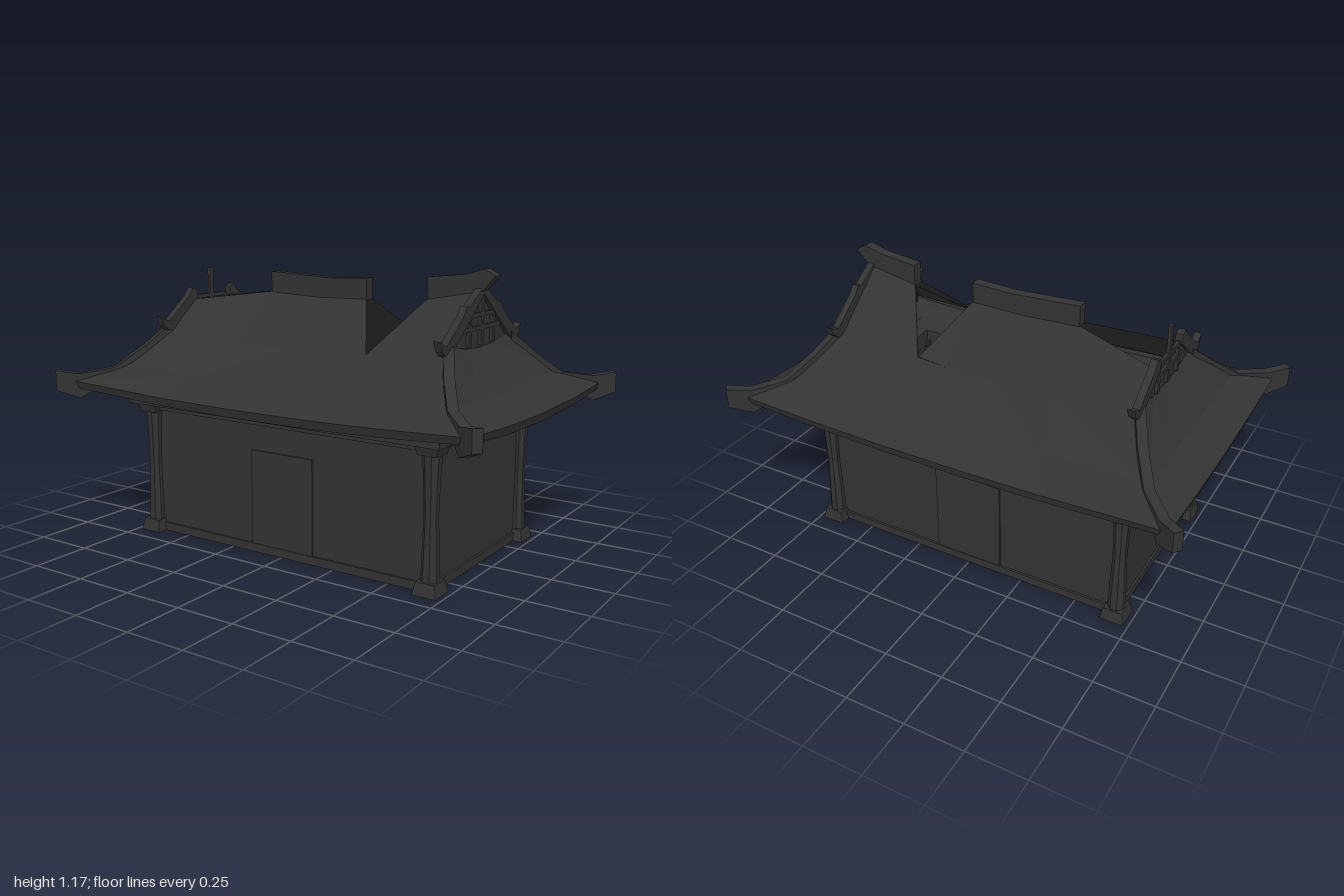
import * as THREE from 'three';

export function createModel() {
  const group = new THREE.Group();
  const charcoal = new THREE.MeshStandardMaterial({ color: 0x333333, flatShading: true, side: THREE.DoubleSide });
  charcoal.name = 'charcoal';

  const add = (name, geo, x = 0, y = 0, z = 0) => {
    const m = new THREE.Mesh(geo, charcoal);
    m.name = name;
    m.position.set(x, y, z);
    group.add(m);
    return m;
  };
  const box = (name, x0, x1, y0, y1, z0, z1) =>
    add(name, new THREE.BoxGeometry(Math.abs(x1 - x0), y1 - y0, Math.abs(z1 - z0)),
      (x0 + x1) / 2, (y0 + y1) / 2, (z0 + z1) / 2);

  // Surface through rows of [x, y, z] points
  const loft = (name, rows, flip = false) => {
    const n = rows[0].length, idx = [];
    for (let r = 0; r < rows.length - 1; r++) {
      for (let c = 0; c < n - 1; c++) {
        const a = r * n + c, b = a + 1, d = a + n, e = d + 1;
        if (flip) idx.push(a, b, d, b, e, d);
        else idx.push(a, d, b, b, d, e);
      }
    }
    const g = new THREE.BufferGeometry();
    g.setAttribute('position', new THREE.Float32BufferAttribute(rows.flat(2), 3));
    g.setIndex(idx);
    g.computeVertexNormals();
    return add(name, g);
  };

  // Flat outline in (z, y), extruded along x
  const plateX = (name, pts, x0, x1) => {
    const shape = new THREE.Shape(pts.map(([z, y]) => new THREE.Vector2(-z, y)));
    const g = new THREE.ExtrudeGeometry(shape, { depth: x1 - x0, bevelEnabled: false });
    g.rotateY(Math.PI / 2);
    return add(name, g, x0);
  };

  // Walls, sills and doors; the floor is open
  for (const s of [-1, 1]) {
    box('longWall', -0.66, 0.66, 0, 0.56, s * 0.36, s * 0.375);
    box('longSill', -0.66, 0.66, 0, 0.035, s * 0.355, s * 0.385);
    box('endWall', s * 0.665, s * 0.68, 0, 0.56, -0.36, 0.36);
    box('endSill', s * 0.66, s * 0.69, 0, 0.035, -0.36, 0.36);
    box('door', -0.15, 0.15, 0.035, 0.43, s * 0.375, s * 0.382);
    box('doorInside', -0.15, 0.15, 0.035, 0.43, s * 0.353, s * 0.36);
    // Stepped beams around the top of the walls
    for (const [x, z, y0, y1] of [[0.7, 0.4, 0.54, 0.57], [0.75, 0.46, 0.57, 0.615]]) {
      box('longBeam', -x, x, y0, y1, s * 0.345, s * z);
      box('endBeam', s * 0.65, s * x, y0, y1, -0.345, 0.345);
    }
  }

  // Waisted corner columns with tapered feet and capitals
  const columnProfile = [[0.037, 0.04], [0.033, 0.16], [0.028, 0.3], [0.032, 0.43], [0.038, 0.54]]
    .map(p => new THREE.Vector2(...p));
  for (const sx of [-1, 1]) for (const sz of [-1, 1]) {
    const x = sx * 0.68, z = sz * 0.38;
    const shaft = new THREE.LatheGeometry(columnProfile, 8);
    shaft.rotateY(Math.PI / 8);
    add('column', shaft, x, 0, z);
    const foot = new THREE.CylinderGeometry(0.057, 0.071, 0.05, 4);
    foot.rotateY(Math.PI / 4);
    add('columnFoot', foot, x, 0.025, z);
    const capital = new THREE.CylinderGeometry(0.071, 0.057, 0.04, 4);
    capital.rotateY(Math.PI / 4);
    add('columnCapital', capital, x, 0.55, z);
  }

  // Roof rows from gable foot to eave: half width, half depth, end height, sag
  const rows = [[0.67, 0.24, 0.9, 0.075], [0.8, 0.455, 0.725, 0.01], [0.94, 0.61, 0.67, 0.025]];
  // Broken upper edge of the long slopes: x, y, z
  const brokenEdge = [[-0.665, 0.99, 0.125], [-0.31, 1.035, 0.02], [-0.07, 1.025, 0.02], [0.17, 1.03, 0.02],
    [0.305, 0.84, 0.236], [0.45, 1.045, 0.02], [0.665, 1.085, 0.02]];
  const us = brokenEdge.map(p => p[0] / 0.665);
  const vs = [-1, -0.5, 0, 0.5, 1];
  const eaveLong = (s, x, z, y, sag) => us.map(u => [u * x, y - sag * (1 - u * u), s * z]);
  const eaveEnd = (s, x, z, y, sag) => vs.map(v => [s * x, y - sag * (1 - v * v), v * z]);

  for (const s of [-1, 1]) {
    loft('longRoofSlope', [brokenEdge.map(([x, y, z]) => [x, y, s * z]),
      ...rows.map(([x, z, y, sag]) => eaveLong(s, x, z, y, sag))], s < 0);
    loft('endRoofSlope', rows.map(([x, z, y, sag], i) => eaveEnd(s, x, z, y, i ? sag : 0.03)), s > 0);
    // Eave edge and soffit
    loft('longEave', [eaveLong(s, 0.94, 0.61, 0.67, 0.025), eaveLong(s, 0.93, 0.6, 0.64, 0.03),
      eaveLong(s, 0.75, 0.46, 0.61, 0)], s < 0);
    loft('endEave', [eaveEnd(s, 0.94, 0.61, 0.67, 0.025), eaveEnd(s, 0.93, 0.6, 0.64, 0.03),
      eaveEnd(s, 0.75, 0.46, 0.61, 0)], s > 0);
  }

  // Gable walls; the right-hand one has lost its top
  plateX('gableWall', [[-0.24, 0.87], [0.24, 0.87], [0.24, 0.9], [0, 1.085], [-0.24, 0.9]], 0.655, 0.667);
  plateX('brokenGableWall', [[-0.24, 0.87], [0.24, 0.87], [0.24, 0.9], [0.125, 0.985], [-0.125, 0.985], [-0.24, 0.9]],
    -0.667, -0.655);

  for (const s of [-1, 1]) {
    const x0 = s > 0 ? 0.667 : -0.68, x1 = x0 + 0.013;
    // Gable lattice
    box('latticePost', x0, x1, 0.88, s > 0 ? 1.07 : 1.12, -0.012, 0.012);
    for (const z of [-0.1, 0.1]) box('latticeSidePost', x0, x1, 0.88, 0.99, z - 0.01, z + 0.01);
    box('latticeRail', x0, x1, 0.94, 0.957, -0.16, 0.16);
    box('latticeRail', x0, x1, 0.99, 1.007, -0.1, 0.1);
    // Gable boards with upturned ends
    for (const t of [-1, 1]) {
      const top = s > 0 ? [[0, 1.075], [0, 1.11], [0.12, 1.035]] : [[0.11, 0.99], [0.11, 1.03]];
      const board = [...top, [0.14, 1.04], [0.17, 1.005], [0.295, 0.91], [0.325, 0.92], [0.345, 0.932],
        [0.33, 0.895], [0.3, 0.87], [0.26, 0.872]];
      plateX('gableBoard', board.map(([z, y]) => [t * z, y]), s > 0 ? 0.655 : -0.685, s > 0 ? 0.685 : -0.655);

      // Hip ridge curling out over the corner: x, z, top, bottom
      const path = [[0.672, 0.26, 0.905, 0.86], [0.735, 0.37, 0.81, 0.76], [0.81, 0.48, 0.722, 0.67],
        [0.91, 0.585, 0.7, 0.595], [0.985, 0.645, 0.715, 0.63]];
      const w = 0.02;
      const sections = path.map(([x, z, hi, lo], i) => {
        const a = path[Math.max(i - 1, 0)], b = path[Math.min(i + 1, path.length - 1)];
        const l = Math.hypot(b[0] - a[0], b[1] - a[1]);
        const nx = -(b[1] - a[1]) / l * w, nz = (b[0] - a[0]) / l * w;
        return [[nx, nz, hi], [-nx, -nz, hi], [-nx, -nz, lo], [nx, nz, lo], [nx, nz, hi]]
          .map(([dx, dz, y]) => [s * (x + dx), y, t * (z + dz)]);
      });
      const collapse = sec => sec.map(() => [0, 1, 2].map(k => (sec[0][k] + sec[2][k]) / 2));
      loft('hipRidge', [collapse(sections[0]), ...sections, collapse(sections[4])], s * t < 0);
    }
  }

  // Two remaining pieces of the top ridge, the second ending in a finial
  const ridge = (name, pts) => {
    const g = new THREE.ExtrudeGeometry(new THREE.Shape(pts.map(p => new THREE.Vector2(...p))),
      { depth: 0.046, bevelEnabled: false });
    add(name, g, 0, 0, -0.023);
  };
  ridge('middleRidge', [[-0.31, 1.03], [-0.07, 1.02], [0.17, 1.025], [0.17, 1.113], [0, 1.105], [-0.31, 1.12]]);
  ridge('endRidge', [[0.45, 1.035], [0.655, 1.06], [0.69, 1.09], [0.74, 1.145], [0.695, 1.17], [0.61, 1.147], [0.45, 1.13]]);

  return group;
}
